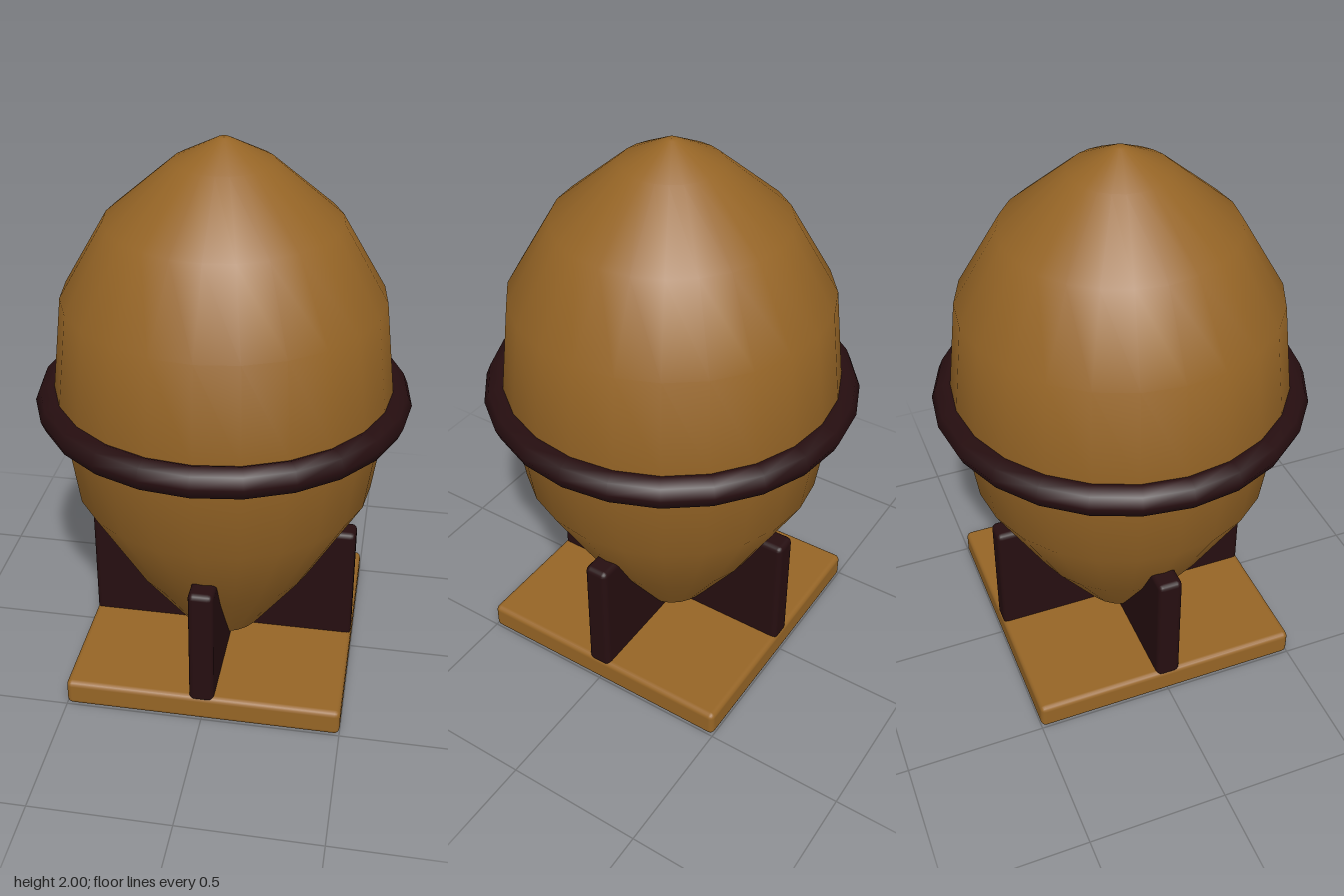
import * as THREE from 'three';
import { RoundedBoxGeometry } from 'three/addons/geometries/RoundedBoxGeometry.js';

const SIDES = 24;

export function createModel() {
  const group = new THREE.Group();
  const bronze = new THREE.MeshStandardMaterial({ name: 'bronze', color: 0x966526 });
  const darkWood = new THREE.MeshStandardMaterial({ name: 'dark wood', color: 0x260e10 });

  const add = (name, geometry, material, y = 0) => {
    const mesh = new THREE.Mesh(geometry, material);
    mesh.name = name;
    mesh.position.y = y;
    group.add(mesh);
    return mesh;
  };

  // Square base plate with softened edges
  add('base', new RoundedBoxGeometry(1, 0.1, 1, 2, 0.02), bronze, 0.05);

  // Two crossed support boards, seen as four fins around the egg
  for (let i = 0; i < 2; i++) {
    const board = add('supportBoard', new RoundedBoxGeometry(0.996, 0.47, 0.09, 2, 0.02), darkWood, 0.315);
    board.rotation.y = i * Math.PI / 2;
  }

  // Egg body, from the narrow foot up to the tip
  const profile = [
    [0.15, 0.125], [0.345, 0.4], [0.537, 0.74], [0.593, 1.13],
    [0.555, 1.465], [0.4, 1.73], [0.17, 1.925], [0.02, 2], [0, 2],
  ].map(([x, y]) => new THREE.Vector2(x, y));
  add('egg', new THREE.LatheGeometry(profile, SIDES), bronze);

  // Flat underside of the egg
  const foot = add('eggFoot', new THREE.CircleGeometry(0.15, SIDES), bronze, 0.125);
  foot.rotation.x = Math.PI / 2;

  // Ring around the widest part
  const ring = add('ring', new THREE.TorusGeometry(0.605, 0.055, 8, SIDES), darkWood, 1.085);
  ring.rotation.x = Math.PI / 2;

  return group;
}
